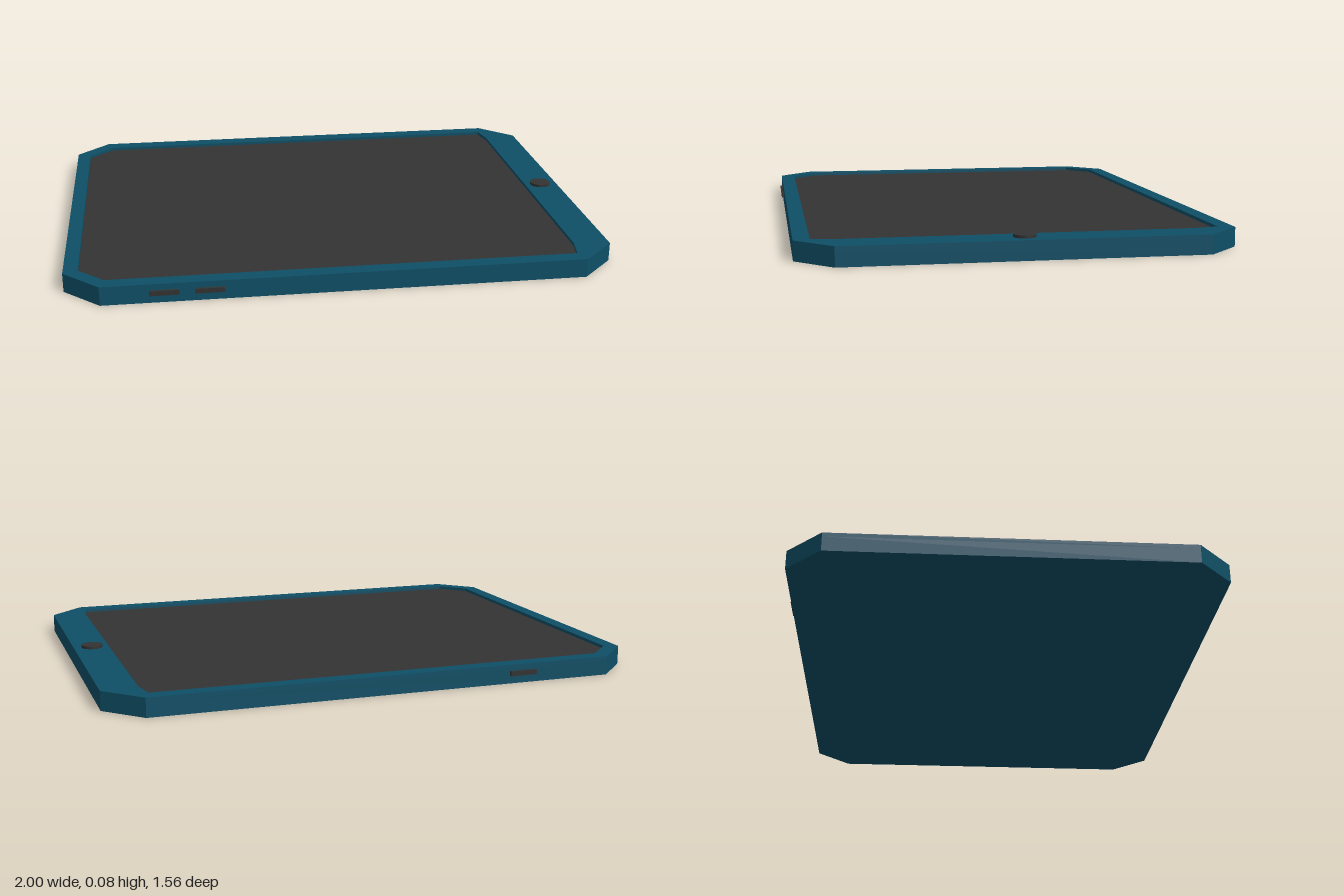
import * as THREE from 'three';

const HEIGHT = 0.07, RECESS = 0.015;
const teal = new THREE.MeshStandardMaterial({ color: 0x0f4f66, flatShading: true });
const dark = new THREE.MeshStandardMaterial({ color: 0x333333, flatShading: true });

// Rectangle with cut corners; the left and right cuts can differ in width
function cutRect(Type, x0, x1, z, cutLeft, cutRight, cutZ) {
  return new Type([
    [x0 + cutLeft, -z], [x1 - cutRight, -z], [x1, -z + cutZ], [x1, z - cutZ],
    [x1 - cutRight, z], [x0 + cutLeft, z], [x0, z - cutZ], [x0, -z + cutZ],
  ].map(([x, y]) => new THREE.Vector2(x, y)));
}

// Extrudes a plan outline upward from y0 to y1
function slab(shape, y0, y1) {
  return new THREE.ExtrudeGeometry(shape, { depth: y1 - y0, bevelEnabled: false })
    .rotateX(-Math.PI / 2).translate(0, y0, 0);
}

export function createModel() {
  const group = new THREE.Group();
  const add = (name, geometry, material, x = 0, y = 0, z = 0) => {
    const mesh = new THREE.Mesh(geometry, material);
    mesh.name = name;
    mesh.position.set(x, y, z);
    group.add(mesh);
  };
  const outline = () => cutRect(THREE.Shape, -1, 1, 0.77, 0.13, 0.13, 0.13);
  const opening = (Type) => cutRect(Type, -0.947, 0.867, 0.713, 0.093, 0.017, 0.093);

  // Case: solid back and a raised rim around the screen
  const floor = HEIGHT - RECESS;
  add('caseBack', slab(outline(), 0, floor), teal);
  const rim = outline();
  rim.holes.push(opening(THREE.Path));
  add('caseRim', slab(rim, floor, HEIGHT), teal);

  // Recessed screen
  add('screen', slab(opening(THREE.Shape), floor - 0.01, floor + 0.003), dark);

  // Round button on the wide side of the rim
  add('homeButton', new THREE.CylinderGeometry(0.04, 0.04, 0.02, 32), dark, 0.93, 0.07, 0);

  // Side buttons: two in front, one at the back
  const key = new THREE.BoxGeometry(0.104, 0.018, 0.02);
  add('volumeButtonA', key, dark, -0.648, 0.038, 0.769);
  add('volumeButtonB', key, dark, -0.49, 0.038, 0.769);
  add('powerButton', key, dark, -0.52, 0.038, -0.769);

  return group;
}
